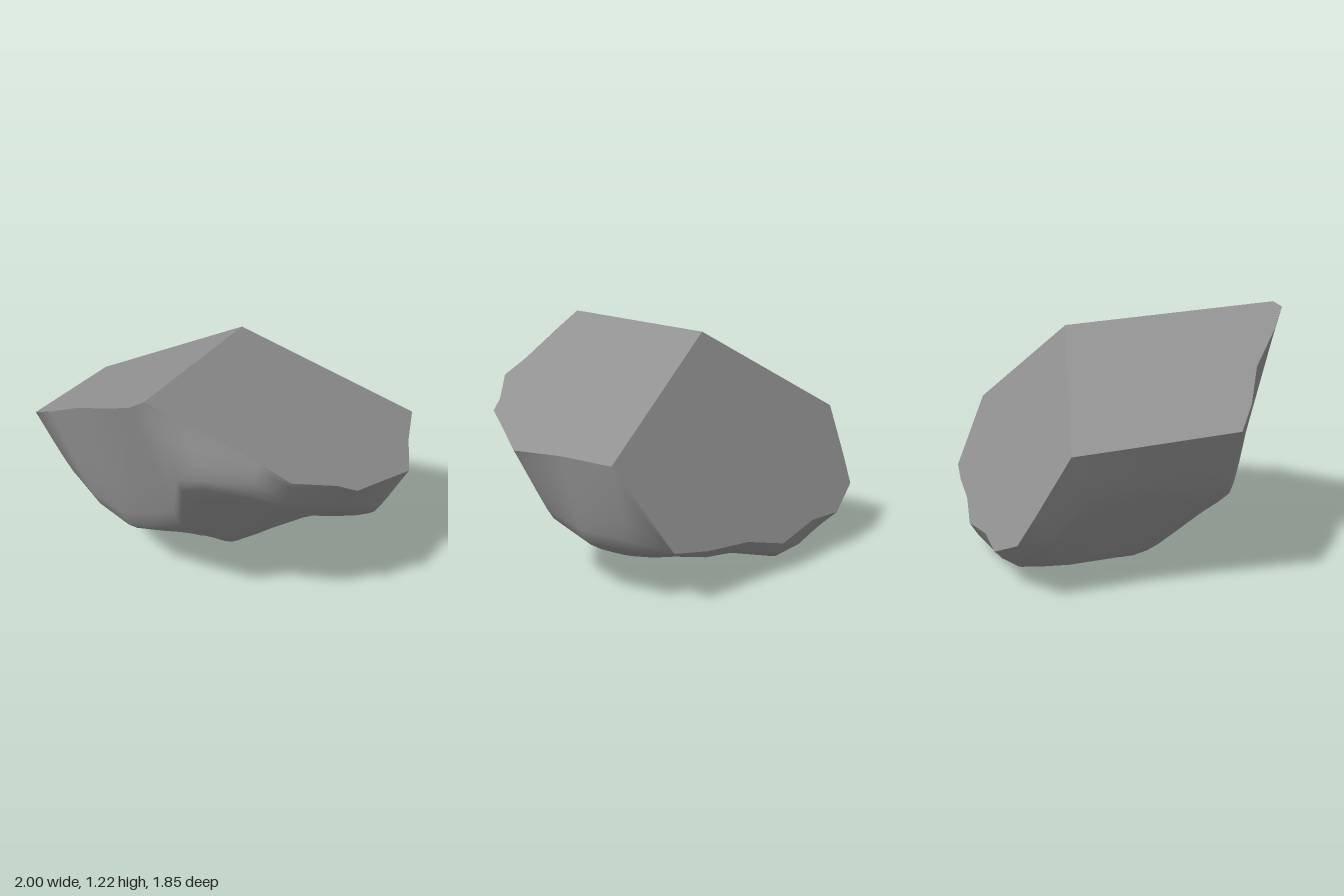
import * as THREE from 'three';
import { mergeVertices } from 'three/addons/utils/BufferGeometryUtils.js';

// Three flat fracture planes meet at the apex; the rock's upper side is the lowest of them.
const APEX = [0.08, 1.12, -0.19];
const SLOPES = [[-0.513, -0.256], [-0.915, 1.695], [0.33, 0.349]]; // front, back, side
const CORNERS = [0, 9, 18, 26]; // rim indices where the planes change
const topY = (x, z) => Math.min(...SLOPES.map(([a, b]) => APEX[1] + a * (x - APEX[0]) + b * (z - APEX[2])));

// Rim outline (x, z), from the front corner round by the left side to the back.
const RIM = [
  [-0.56, 0.70], [-0.40, 0.76], [-0.13, 0.85], [0, 0.92], [0.24, 0.84], [0.34, 0.83], [0.52, 0.70],
  [0.73, 0.55], [0.85, 0.28], [1, 0], [0.94, -0.25], [0.77, -0.36], [0.53, -0.50], [0.33, -0.64],
  [0.05, -0.76], [-0.15, -0.87], [-0.38, -0.93], [-0.45, -0.89], [-0.58, -0.80], [-0.70, -0.63],
  [-0.86, -0.40], [-1, -0.20], [-0.93, -0.03], [-0.80, 0.20], [-0.70, 0.50], [-0.62, 0.69],
];

// Ridge partway down the rough underside (x, y, z).
const WAIST = [
  [-0.43, 0.80, 0.76], [-0.36, 0.84, 0.83], [-0.16, 0.80, 0.87], [0, 0.66, 0.79], [0.20, 0.55, 0.68],
  [0.30, 0.50, 0.64], [0.48, 0.38, 0.52], [0.64, 0.27, 0.40], [0.83, 0.23, 0.18], [0.92, 0.23, -0.06],
  [0.78, 0.18, -0.22], [0.64, 0.14, -0.33], [0.48, 0.12, -0.44], [0.27, 0.07, -0.62], [0.02, 0.04, -0.69],
  [-0.14, 0.09, -0.76], [-0.35, 0.20, -0.80], [-0.44, 0.29, -0.74], [-0.56, 0.45, -0.68], [-0.68, 0.48, -0.48],
  [-0.78, 0.47, -0.28], [-0.82, 0.41, -0.05], [-0.74, 0.35, 0.10], [-0.62, 0.33, 0.28], [-0.54, 0.42, 0.44],
  [-0.43, 0.56, 0.65],
];

// Edge of the resting patch, with a groove and a second lobe on the +x side.
const BASE = [
  [-0.16, 0.05, 0.13], [-0.13, 0.04, 0.14], [-0.10, 0.03, 0.15], [-0.06, 0.02, 0.15], [0.05, 0.03, 0.13],
  [0.20, 0.17, 0.20], [0.36, 0.18, 0.16], [0.46, 0.09, 0.14], [0.52, 0.07, 0.06], [0.52, 0.07, -0.05],
  [0.48, 0.075, -0.15], [0.42, 0.075, -0.26], [0.34, 0.065, -0.38], [0.18, 0.02, -0.56], [0, 0.02, -0.62],
  [-0.09, 0.01, -0.64], [-0.15, 0.01, -0.58], [-0.22, 0.01, -0.47], [-0.28, 0.015, -0.38], [-0.34, 0.015, -0.28],
  [-0.39, 0.02, -0.20], [-0.40, 0.03, -0.10], [-0.36, 0.05, -0.02], [-0.30, 0.06, 0.04], [-0.24, 0.06, 0.08],
  [-0.20, 0.055, 0.11],
];
const BOTTOM = [-0.08, 0, -0.20];
const N = RIM.length;
const rimPoint = (i) => {
  const [x, z] = RIM[i % N];
  return [x, topY(x, z), z];
};

// One flat fracture face, fanned from the apex along part of the rim.
function fractureFace(from, to) {
  const pos = [];
  for (let i = from; i < to; i++) pos.push(...APEX, ...rimPoint(i), ...rimPoint(i + 1));
  const g = new THREE.BufferGeometry();
  g.setAttribute('position', new THREE.Float32BufferAttribute(pos, 3));
  g.computeVertexNormals();
  return g;
}

// Rough underside: taut curves run from each rim point down to the bottom.
function undersideGeometry() {
  const STEPS = 15;
  const pos = [], index = [];
  for (let i = 0; i < N; i++) {
    const curve = new THREE.CatmullRomCurve3(
      [rimPoint(i), WAIST[i], BASE[i], BOTTOM].map((p) => new THREE.Vector3(...p)), false, 'catmullrom', 0.2);
    for (let k = 0; k <= STEPS; k++) {
      const p = curve.getPoint(k / STEPS);
      // gentle lumps that fade out at the rim and the bottom
      const lump = 0.01 * Math.sin(Math.PI * k / STEPS);
      p.y += lump * Math.sin(9 * p.x + 2) * Math.cos(11 * p.z);
      pos.push(p.x, Math.max(0, p.y), p.z);
    }
  }
  const at = (i, k) => (i % N) * (STEPS + 1) + k;
  for (let i = 0; i < N; i++) {
    for (let k = 0; k < STEPS; k++) {
      const a = at(i, k), b = at(i, k + 1), c = at(i + 1, k), d = at(i + 1, k + 1);
      index.push(a, b, c);
      if (k < STEPS - 1) index.push(c, b, d);
    }
  }
  const g = new THREE.BufferGeometry();
  g.setAttribute('position', new THREE.Float32BufferAttribute(pos, 3));
  g.setIndex(index);
  const merged = mergeVertices(g);
  merged.computeVertexNormals();
  return merged;
}

export function createModel() {
  const stone = new THREE.MeshStandardMaterial({ color: 0x919191 });
  stone.name = 'grey stone';
  const group = new THREE.Group();
  group.name = 'rock';
  const add = (name, geometry) => {
    const mesh = new THREE.Mesh(geometry, stone);
    mesh.name = name;
    group.add(mesh);
  };
  ['frontFractureFace', 'backFractureFace', 'sideFractureFace'].forEach((name, i) =>
    add(name, fractureFace(CORNERS[i], CORNERS[i + 1])));
  add('roughUnderside', undersideGeometry());
  return group;
}
